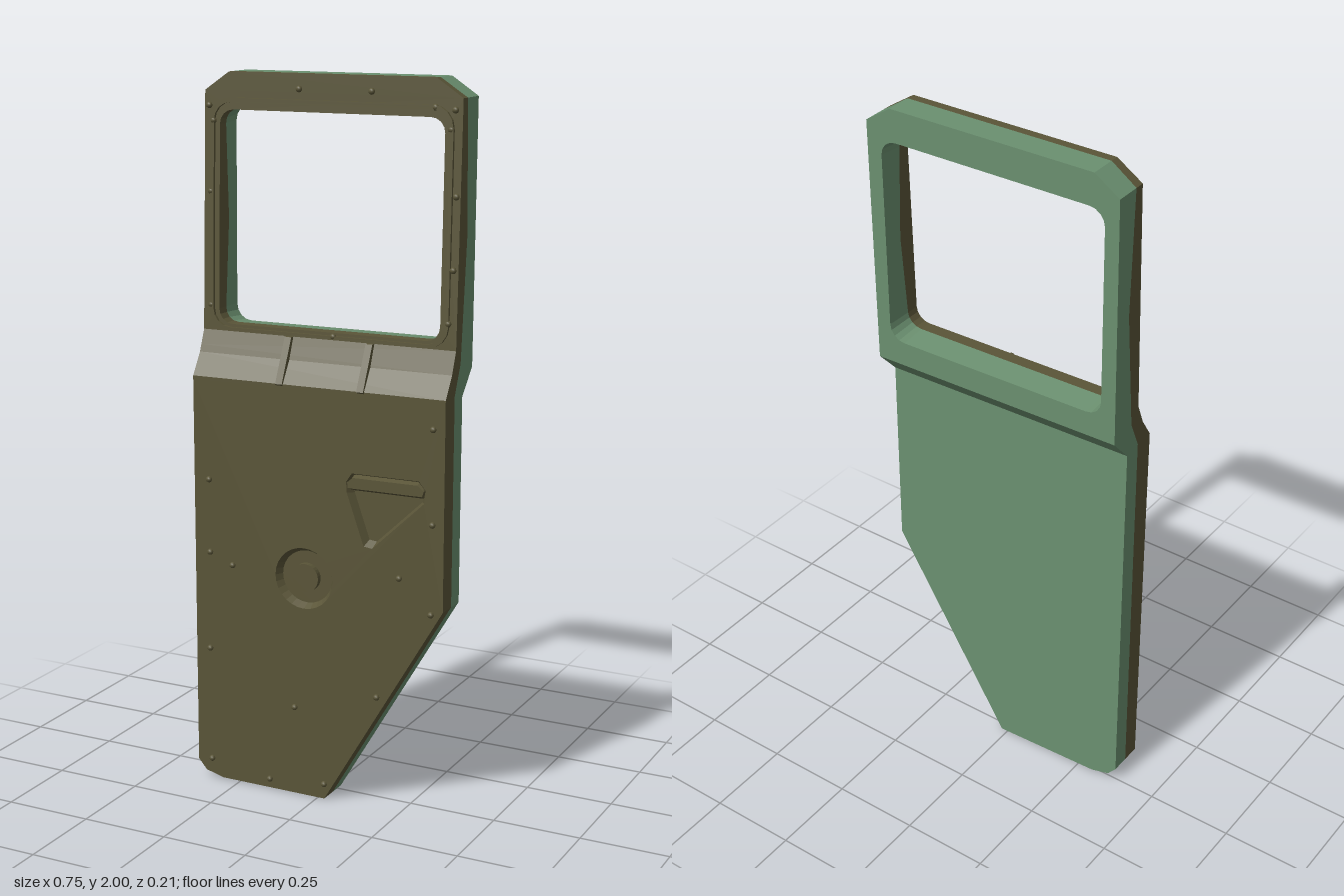
import * as THREE from 'three';

const olive = new THREE.MeshStandardMaterial({ color: 0x5a5538 });
olive.name = 'olive paint';
const green = new THREE.MeshStandardMaterial({ color: 0x6b9070 });
green.name = 'pale green paint';

// Depth profiles by height: [y, z]; the whole door is slightly skewed across x
const SKEW = 0.027;
const profile = (knots) => (x, y) => {
  let i = 0;
  while (i < knots.length - 2 && y > knots[i + 1][0]) i++;
  const [y0, z0] = knots[i], [y1, z1] = knots[i + 1];
  return z0 + (z1 - z0) * (y - y0) / (y1 - y0) - SKEW * x;
};
const frontZ = profile([[0, 0.082], [1.18, 0.088], [1.24, 0.05], [1.30, 0.026], [2, 0.004]]);
const seamZ = profile([[0, 0.03], [1.18, 0.03], [1.26, -0.005], [1.6, -0.035], [2, -0.02]]);
const backZ = profile([[0, -0.022], [1.17, -0.02], [1.24, -0.083], [2, -0.093]]);
const shift = (f, d) => (x, y) => f(x, y) + d;
const KNOTS = [1.17, 1.18, 1.24, 1.26, 1.30, 1.6];

// Adds points to a loop wherever a profile bends
function split(loop) {
  const out = [];
  loop.forEach((p, i) => {
    const q = loop[(i + 1) % loop.length];
    out.push(p);
    const cuts = KNOTS.filter((k) => (p.y - k) * (q.y - k) < -1e-9);
    if (q.y < p.y) cuts.reverse();
    cuts.forEach((k) => {
      const v = p.clone().lerp(q, (k - p.y) / (q.y - p.y));
      v.y = k;
      out.push(v);
    });
  });
  return out;
}
const points = (list) => list.map(([x, y]) => new THREE.Vector2(x, y));
const strip = (loop, y0, y1) => loop.filter((p) => p.y >= y0 - 1e-6 && p.y <= y1 + 1e-6);

function circle(cx, cy, r, n = 28) {
  return Array.from({ length: n }, (_, i) => {
    const a = i / n * Math.PI * 2;
    return new THREE.Vector2(cx + r * Math.cos(a), cy + r * Math.sin(a));
  });
}
function roundRect(x0, x1, y0, y1, r) {
  const out = [];
  [[x1 - r, y0 + r, -1], [x1 - r, y1 - r, 0], [x0 + r, y1 - r, 1], [x0 + r, y0 + r, 2]].forEach(([x, y, q]) => {
    for (let i = 0; i <= 4; i++) {
      const a = (q + i / 4) * Math.PI / 2;
      out.push(new THREE.Vector2(x + r * Math.cos(a), y + r * Math.sin(a)));
    }
  });
  return split(out);
}

function add(group, name, geometry, material) {
  const mesh = new THREE.Mesh(geometry, material);
  mesh.name = name;
  group.add(mesh);
  return mesh;
}

// Flat sheet laid on a depth profile
function sheet(loop, z, holes = [], flip = false) {
  const shape = new THREE.Shape(loop);
  shape.holes = holes.map((h) => new THREE.Path(h));
  let g = new THREE.ShapeGeometry(shape);
  const pos = g.attributes.position;
  for (let i = 0; i < pos.count; i++) pos.setZ(i, z(pos.getX(i), pos.getY(i)));
  if (flip) g.index.array.reverse();
  g = g.toNonIndexed();
  g.computeVertexNormals();
  return g;
}

// Wall joining two loops; faces outward, or inward for openings
function wall(a, za, b, zb, inward = false) {
  const v = [];
  const A = (i) => [a[i].x, a[i].y, za(a[i].x, a[i].y)];
  const B = (i) => [b[i].x, b[i].y, zb(b[i].x, b[i].y)];
  for (let i = 0; i < a.length; i++) {
    let p = i, q = (i + 1) % a.length;
    if (inward) [p, q] = [q, p];
    v.push(...A(p), ...B(p), ...B(q), ...A(p), ...B(q), ...A(q));
  }
  const g = new THREE.BufferGeometry();
  g.setAttribute('position', new THREE.Float32BufferAttribute(v, 3));
  g.computeVertexNormals();
  return g;
}

export function createModel() {
  const door = new THREE.Group();
  door.name = 'door';

  const outline = split(points([
    [-0.38, 0.05], [-0.355, 0.02], [-0.30, 0.005], [0.02, 0], [0.372, 0.6],
    [0.375, 1.95], [0.30, 2], [-0.30, 2], [-0.372, 1.95],
  ]));
  const windowFront = roundRect(-0.327, 0.327, 1.32, 1.9, 0.04);
  const windowBack = roundRect(-0.332, 0.332, 1.312, 1.908, 0.045);
  const dish = circle(-0.04, 0.64, 0.087);
  const pocket = points([
    [0.14, 0.755], [0.165, 0.752], [0.315, 0.895], [0.32, 0.93], [0.30, 0.955], [0.105, 0.955], [0.088, 0.93], [0.09, 0.90],
  ]);

  // Front skin
  const front = new THREE.Group();
  front.name = 'frontSkin';
  door.add(front);
  add(front, 'lowerPanel', sheet(strip(outline, 0, 1.18), frontZ, [dish, pocket]), olive);
  add(front, 'lowerRamp', sheet(strip(outline, 1.18, 1.24), frontZ), olive);
  add(front, 'upperRamp', sheet(strip(outline, 1.24, 1.30), frontZ), olive);
  add(front, 'windowFrame', sheet(strip(outline, 1.30, 2), frontZ, [windowFront]), olive);
  add(front, 'frontEdge', wall(outline, frontZ, outline, seamZ), olive);
  add(front, 'frontWindowReveal', wall(windowFront, frontZ, windowFront, seamZ, true), olive);

  // Back skin
  const back = new THREE.Group();
  back.name = 'backSkin';
  door.add(back);
  add(back, 'backLowerPanel', sheet(strip(outline, 0, 1.17), backZ, [], true), green);
  add(back, 'backRamp', sheet(strip(outline, 1.17, 1.24), backZ, [], true), green);
  add(back, 'backWindowFrame', sheet(strip(outline, 1.24, 2), backZ, [windowBack], true), green);
  add(back, 'backEdge', wall(outline, seamZ, outline, backZ), green);
  add(back, 'backWindowReveal', wall(windowFront, seamZ, windowBack, backZ, true), green);

  // Round dish with a centre boss
  const dishFloor = circle(-0.04, 0.64, 0.075), boss = circle(-0.04, 0.64, 0.04);
  const deep = shift(frontZ, -0.022), bossTop = shift(frontZ, -0.006);
  add(door, 'dishWall', wall(dish, frontZ, dishFloor, deep, true), olive);
  add(door, 'dishFloor', sheet(dishFloor, deep), olive);
  add(door, 'dishBossWall', wall(boss, bossTop, boss, deep), olive);
  add(door, 'dishBossTop', sheet(boss, bossTop), olive);

  // Handle pocket with a grip bar along its top
  const pocketFloor = pocket.map((p) => new THREE.Vector2(0.2 + (p.x - 0.2) * 0.88, 0.88 + (p.y - 0.88) * 0.88));
  add(door, 'pocketWall', wall(pocket, frontZ, pocketFloor, deep, true), olive);
  add(door, 'pocketFloor', sheet(pocketFloor, deep), olive);
  const grip = points([[0.09, 0.903], [0.315, 0.903], [0.32, 0.93], [0.30, 0.953], [0.105, 0.953], [0.088, 0.93]]);
  const gripTop = grip.map((p) => new THREE.Vector2(0.204 + (p.x - 0.204) * 0.96, 0.93 + (p.y - 0.93) * 0.6));
  const gripZ = shift(frontZ, 0.003);
  add(door, 'gripBarSides', wall(gripTop, gripZ, grip, deep), olive);
  add(door, 'gripBarFace', sheet(gripTop, gripZ), olive);

  // Raised seal around the window
  const sealOut = roundRect(-0.353, 0.353, 1.302, 1.932, 0.06);
  const sealIn = roundRect(-0.341, 0.341, 1.312, 1.92, 0.05);
  const sealZ = shift(frontZ, 0.008);
  add(door, 'windowSealFace', sheet(sealOut, sealZ, [sealIn]), olive);
  add(door, 'windowSealOuter', wall(sealOut, sealZ, sealOut, frontZ), olive);
  add(door, 'windowSealInner', wall(sealIn, sealZ, sealIn, frontZ, true), olive);

  // Two ribs bridging the ramp
  for (const x of [-0.11, 0.13]) {
    const side = new THREE.Shape(points([
      [0.08, 1.17], [0.094, 1.18], [0.066, 1.24], [0.038, 1.30], [0.02, 1.30], [0.04, 1.24],
    ]));
    const rib = new THREE.ExtrudeGeometry(side, { depth: 0.02, bevelEnabled: false });
    rib.rotateY(-Math.PI / 2);
    const mesh = add(door, 'rampRib', rib, olive);
    mesh.position.set(x + 0.01, 0, -SKEW * x);
  }

  // Bolt heads
  const bolt = new THREE.SphereGeometry(0.009, 10, 6);
  [[-0.335, 0.06], [-0.15, 0.03], [0.02, 0.045], [0.18, 0.33], [0.338, 0.59], [0.34, 0.84], [0.34, 1.1],
    [-0.33, 0.89], [-0.33, 0.68], [-0.26, 0.65], [-0.335, 0.395], [0.245, 0.68], [-0.07, 0.26],
    [-0.09, 1.96], [0.12, 1.96], [0.36, 1.51], [0.363, 1.7], [0.355, 1.92], [-0.358, 1.91], [-0.35, 1.37],
    [-0.352, 1.68], [0.02, 1.31], [0.35, 1.37], [0.30, 1.925], [0.345, 1.87], [-0.345, 1.87],
  ].forEach(([x, y]) => {
    const head = add(door, 'boltHead', bolt, olive);
    head.position.set(x, y, frontZ(x, y) + 0.002);
  });

  return door;
}
